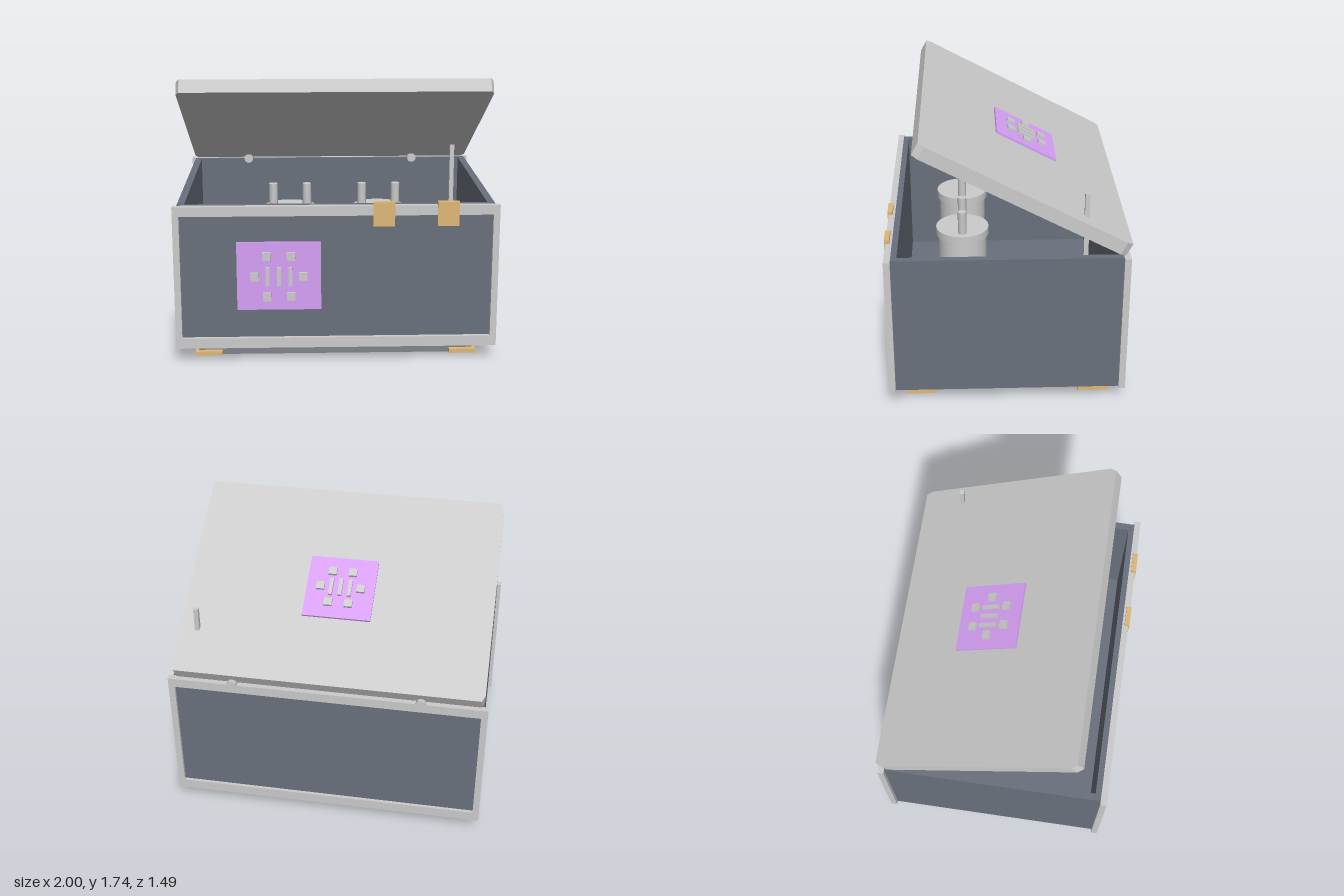
import * as THREE from 'three';

const mat = (color) => new THREE.MeshStandardMaterial({ color });
const grey = mat(0xcccccc), slate = mat(0x6a717c), purple = mat(0xd8a0f8);
const tan = mat(0xe0b877), railGrey = mat(0x808488), green = mat(0x66ccaa);

function add(parent, name, geometry, material, x = 0, y = 0, z = 0) {
  const mesh = new THREE.Mesh(geometry, material);
  mesh.name = name;
  mesh.position.set(x, y, z);
  parent.add(mesh);
  return mesh;
}

// Box given by its lower and upper limits on each axis
function box(parent, name, material, [x0, x1], [y0, y1], [z0, z1]) {
  return add(parent, name, new THREE.BoxGeometry(x1 - x0, y1 - y0, z1 - z0), material,
    (x0 + x1) / 2, (y0 + y1) / 2, (z0 + z1) / 2);
}

// Rectangular ring in the XY plane, extruded along z
function ring(hw, y0, y1, iw, iy0, iy1, depth) {
  const rect = (P, w, a, b) => {
    const p = new P();
    p.moveTo(-w, a); p.lineTo(w, a); p.lineTo(w, b); p.lineTo(-w, b); p.closePath();
    return p;
  };
  const shape = rect(THREE.Shape, hw, y0, y1);
  shape.holes.push(rect(THREE.Path, iw, iy0, iy1));
  return new THREE.ExtrudeGeometry(shape, { depth, bevelEnabled: false });
}

// Coloured plate with six square studs around three bars, facing +z
function patternPlate(name, w, h, s, studHeight) {
  const g = new THREE.Group();
  g.name = name;
  const t = 0.015;
  add(g, 'plate', new THREE.BoxGeometry(w, h, t), purple, 0, 0, t / 2);
  const z = t + studHeight / 2;
  for (const side of [-1, 1]) {
    for (const [x, y] of [[0.075, 0.13], [0.15, 0], [0.075, -0.13]])
      add(g, 'stud', new THREE.BoxGeometry(0.052, 0.052, studHeight), grey, side * x * s, y * s, z);
  }
  for (const x of [-0.07, 0, 0.07])
    add(g, 'bar', new THREE.BoxGeometry(0.024, 0.12, studHeight), grey, x * s, 0, z);
  return g;
}

export function createModel() {
  const model = new THREE.Group();
  model.name = 'openCrate';

  // Case: floor, raised floor plate and four walls
  const body = new THREE.Group();
  body.name = 'caseBody';
  model.add(body);
  box(body, 'floor', slate, [-0.975, 0.975], [0.09, 0.14], [-0.71, 0.71]);
  box(body, 'floorPlate', slate, [-0.87, 0.87], [0.14, 0.17], [-0.6, 0.6]);
  for (const s of [-1, 1]) {
    add(body, 'sideWall', new THREE.BoxGeometry(0.045, 0.86, 1.42), slate, s * 0.9525, 0.57, 0);
    add(body, 'endWall', new THREE.BoxGeometry(1.86, 0.86, 0.05), slate, 0, 0.57, s * 0.685);
  }

  // Front and back frames
  const frame = ring(1, 0.09, 1.001, 0.96, 0.155, 0.94, 0.04);
  add(model, 'frontFrame', frame, grey, 0, 0, 0.697);
  add(model, 'backFrame', frame, grey, 0, 0, -0.73);

  // Front pattern plate and latches
  const frontPlate = patternPlate('frontPatternPlate', 0.52, 0.435, 1, 0.022);
  frontPlate.position.set(-0.355, 0.555, 0.709);
  model.add(frontPlate);
  for (const x of [0.29, 0.683])
    box(model, 'latch', tan, [x - 0.066, x + 0.066], [0.872, 1.025], [0.712, 0.744]);

  // Rails and foot pads
  for (const s of [-1, 1]) {
    add(model, 'rail', new THREE.BoxGeometry(1.74, 0.09, 0.13), railGrey, 0, 0.045, s * 0.543);
    for (const sx of [-1, 1])
      add(model, 'footPad', new THREE.BoxGeometry(0.17, 0.027, 0.195), tan, sx * 0.805, 0.0165, s * 0.543);
  }

  // Lid: slab with clipped corners, tilted open
  const lid = new THREE.Group();
  lid.name = 'lid';
  lid.position.set(0, 1.374, -0.095);
  lid.rotation.x = -THREE.MathUtils.degToRad(28);
  model.add(lid);
  const W = 0.975, L = 0.708, T = 0.085, cx = 0.02, cz = 0.04;
  const outline = new THREE.Shape([
    [-W + cx, -L], [W - cx, -L], [W, -L + cz], [W, L - cz],
    [W - cx, L], [-W + cx, L], [-W, L - cz], [-W, -L + cz],
  ].map(([x, y]) => new THREE.Vector2(x, y)));
  const slab = new THREE.ExtrudeGeometry(outline, { depth: T, bevelEnabled: false });
  slab.rotateX(Math.PI / 2);
  add(lid, 'lidSlab', slab, grey, 0, T / 2, 0);
  const lidPlate = patternPlate('lidPatternPlate', 0.435, 0.432, 0.86, 0.018);
  lidPlate.rotation.x = -Math.PI / 2;
  lidPlate.position.set(0, T / 2, -0.03);
  lid.add(lidPlate);

  // Hinge pins and the prop rod
  const hinge = new THREE.CylinderGeometry(0.031, 0.031, 0.095, 12);
  hinge.rotateX(Math.PI / 2);
  for (const x of [-0.59, 0.59]) add(model, 'hingePin', hinge, grey, x, 1.002, -0.692);
  box(model, 'propRod', grey, [0.845, 0.875], [0.65, 1.37], [-0.485, -0.457]);

  // Canisters with twin terminals, each beside an upright board
  for (const x of [-0.285, 0.285]) {
    const can = new THREE.Group();
    can.name = 'canister';
    can.position.set(x, 0, 0.27);
    model.add(can);
    add(can, 'canisterBody', new THREE.CylinderGeometry(0.155, 0.155, 0.67, 32), grey, 0, 0.505, 0);
    add(can, 'canisterCap', new THREE.CylinderGeometry(0.17, 0.17, 0.05, 32), grey, 0, 0.86, 0);
    for (const s of [-1, 1])
      add(can, 'terminal', new THREE.CylinderGeometry(0.028, 0.028, 0.15, 8), grey, s * 0.108, 0.96, 0);
    add(can, 'circuitBoard', new THREE.BoxGeometry(0.07, 0.62, 0.09), green, 0.29, 0.48, 0);
  }
  return model;
}
